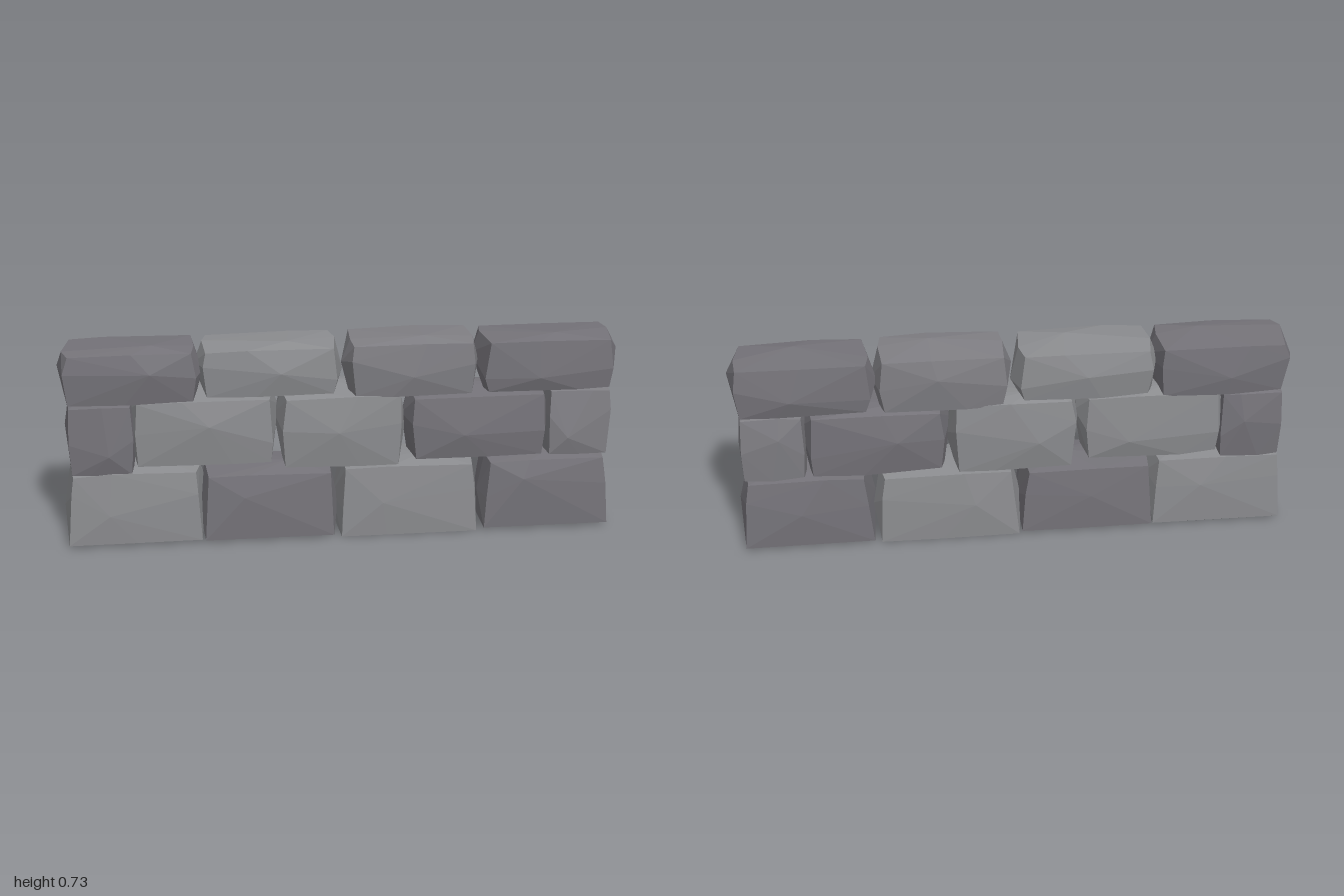
import * as THREE from 'three';
import { ConvexGeometry } from 'three/addons/geometries/ConvexGeometry.js';

// Small seeded generator, returns -1..1
function seeded(seed) {
  let s = seed * 7919 + 17;
  return () => {
    s = (s * 16807) % 2147483647;
    return (s / 2147483647) * 2 - 1;
  };
}

// Rough hewn block: points of a rounded box, shifted a little, wrapped in a hull
function stoneGeometry(w, h, d, seed, flatBase) {
  const rnd = seeded(seed);
  for (let i = 0; i < 5; i++) rnd();
  const P = 7;
  const points = [];
  for (const i of [-1, 0, 1]) for (const j of [-1, 0, 1]) for (const k of [-1, 0, 1]) {
    const count = Math.abs(i) + Math.abs(j) + Math.abs(k);
    if (count === 0) continue;
    // zero coordinates slide along the face, outer ones are only worn inwards
    const wander = count === 1 ? 0.38 : 0.45;
    const place = (c) => (c === 0 ? rnd() * wander : c * (count === 1 ? 1 : 1 - 0.05 * Math.abs(rnd())));
    const v = [place(i), place(j), place(k)];
    const n = Math.pow(v.reduce((sum, c) => sum + Math.pow(Math.abs(c), P), 0), 1 / P);
    const scale = count === 1 ? 1 : Math.max(Math.abs(v[0]), Math.abs(v[1]), Math.abs(v[2])) / n;
    const p = new THREE.Vector3(v[0] * scale, v[1] * scale, v[2] * scale);
    // bedding stones keep a broad, nearly level underside
    if (flatBase && j === -1) p.set(v[0] * 0.95, -0.98 - 0.02 * Math.abs(rnd()), v[2] * 0.97);
    points.push(p.multiply(new THREE.Vector3(w / 2, h / 2, d / 2)));
  }
  return new ConvexGeometry(points);
}

export function createModel() {
  const wall = new THREE.Group();
  wall.name = 'stoneWall';

  const shades = [0x757379, 0x807f84, 0x8c8d90].map(
    (color) => new THREE.MeshStandardMaterial({ color, flatShading: true })
  );

  // Each stone: x from, x to, y from, y to, shade
  const courses = {
    bottomCourse: [
      [-1.0, -0.49, 0.01, 0.29, 2],
      [-0.52, -0.01, 0.01, 0.27, 0],
      [-0.03, 0.51, 0.0, 0.28, 2],
      [0.5, 0.99, 0.01, 0.285, 0],
    ],
    middleCourse: [
      [-0.98, -0.73, 0.255, 0.545, 0],
      [-0.77, -0.22, 0.28, 0.555, 2],
      [-0.24, 0.24, 0.25, 0.555, 2],
      [0.22, 0.76, 0.27, 0.535, 0],
      [0.73, 0.98, 0.265, 0.545, 1],
    ],
    topCourse: [
      [-1.0, -0.49, 0.52, 0.73, 0],
      [-0.52, 0.01, 0.535, 0.73, 2],
      [0.0, 0.5, 0.515, 0.735, 1],
      [0.48, 1.0, 0.52, 0.73, 0],
    ],
  };

  let seed = 1;
  for (const [name, stones] of Object.entries(courses)) {
    const course = new THREE.Group();
    course.name = name;
    stones.forEach(([x0, x1, y0, y1, shade], i) => {
      const geometry = stoneGeometry(x1 - x0, y1 - y0, 0.252, seed++, name === 'bottomCourse');
      const stone = new THREE.Mesh(geometry, shades[shade]);
      stone.name = `${name}Stone${i + 1}`;
      stone.position.set((x0 + x1) / 2, (y0 + y1) / 2, 0);
      course.add(stone);
    });
    wall.add(course);
  }
  return wall;
}
